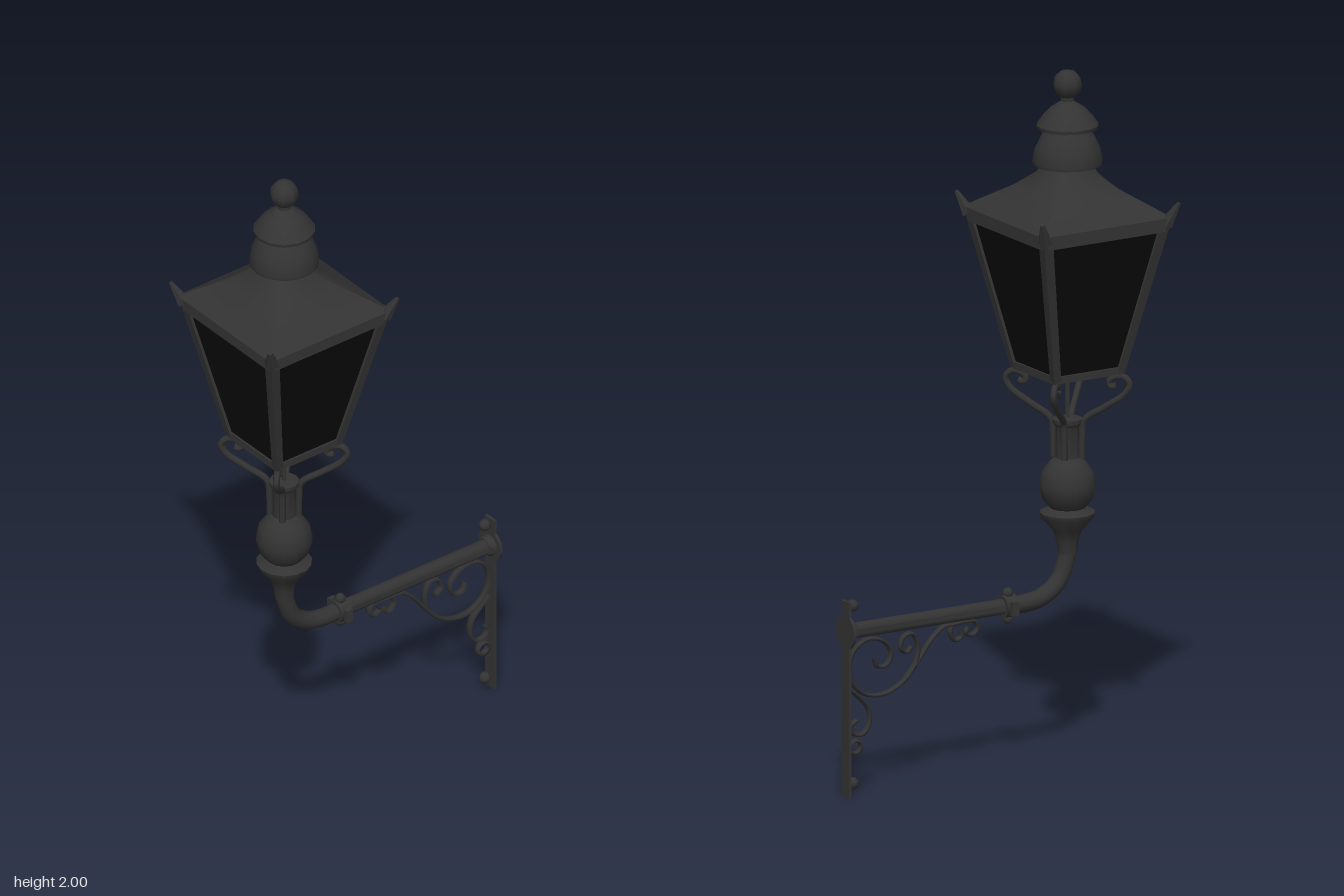
import * as THREE from 'three';
import { toCreasedNormals } from 'three/addons/utils/BufferGeometryUtils.js';

const iron = new THREE.MeshStandardMaterial({ color: 0x333333 });
iron.name = 'castIron';
const glass = new THREE.MeshStandardMaterial({ color: 0x0a0a0a });
glass.name = 'darkGlass';

const AXIS = 0.253; // z of the lantern and column
const PIPE = 0.477; // height of the horizontal arm

function add(parent, name, geometry, material = iron) {
  const mesh = new THREE.Mesh(geometry, material);
  mesh.name = name;
  parent.add(mesh);
  return mesh;
}

const vec = (p) => new THREE.Vector3(...p);

// Turned part, profile listed as [radius, y] from bottom to top
function turned(parent, name, profile, segments = 14) {
  const points = profile.map(([r, y]) => new THREE.Vector2(r, y));
  return add(parent, name, toCreasedNormals(new THREE.LatheGeometry(points, segments), 0.7));
}

// Straight bar between two points, square when sides is 4
function bar(parent, name, from, to, r0, r1 = r0, sides = 4) {
  const a = vec(from), b = vec(to), dir = b.clone().sub(a);
  let g = new THREE.CylinderGeometry(r1, r0, dir.length(), sides);
  if (sides === 4) g.rotateY(Math.PI / 4);
  g = toCreasedNormals(g, 0.9);
  const mesh = add(parent, name, g);
  mesh.position.copy(a).add(b).multiplyScalar(0.5);
  mesh.quaternion.setFromUnitVectors(new THREE.Vector3(0, 1, 0), dir.normalize());
  return mesh;
}

function tube(parent, name, points, radius, steps, sides = 6) {
  const curve = new THREE.CatmullRomCurve3(points.map(vec));
  return add(parent, name, new THREE.TubeGeometry(curve, steps, radius, sides));
}

// Roof skin that blends from a round neck to square eaves
function roofGeometry() {
  const rows = [[1.588, 0.214, 1], [1.62, 0.172, 0.9], [1.66, 0.122, 0.6], [1.7, 0.083, 0.2], [1.74, 0.062, 0]];
  const n = 32, positions = [], index = [];
  rows.forEach(([y, half, square], i) => {
    for (let j = 0; j <= n; j++) {
      const t = (j / n) * Math.PI * 2, s = Math.sin(t), c = Math.cos(t);
      const stretch = 1 + square * (1 / Math.max(Math.abs(s), Math.abs(c)) - 1);
      positions.push(s * half * stretch, y, c * half * stretch);
      if (i < rows.length - 1 && j < n) {
        const a = i * (n + 1) + j, d = a + n + 1;
        index.push(a, a + 1, d, a + 1, d + 1, d);
      }
    }
  });
  const g = new THREE.BufferGeometry();
  g.setAttribute('position', new THREE.Float32BufferAttribute(positions, 3));
  g.setIndex(index);
  return toCreasedNormals(g, 0.6);
}

function buildLantern() {
  const lantern = new THREE.Group();
  lantern.name = 'lantern';
  lantern.position.z = AXIS;

  // Tapered glass body
  const pane = new THREE.CylinderGeometry(0.199 * Math.SQRT2, 0.108 * Math.SQRT2, 0.43, 4);
  pane.rotateY(Math.PI / 4).translate(0, 1.352, 0);
  add(lantern, 'glassPanes', toCreasedNormals(pane, 0.3), glass);

  // Frame, eaves and corner horns
  const corners = [[1, 1], [1, -1], [-1, -1], [-1, 1]];
  corners.forEach(([x, z], i) => {
    const [u, w] = corners[(i + 1) % 4];
    bar(lantern, 'cornerPost', [x * 0.104, 1.13, z * 0.104], [x * 0.194, 1.575, z * 0.194], 0.016, 0.021);
    bar(lantern, 'bottomRail', [x * 0.106, 1.14, z * 0.106], [u * 0.106, 1.14, w * 0.106], 0.015);
    bar(lantern, 'topRail', [x * 0.194, 1.562, z * 0.194], [u * 0.194, 1.562, w * 0.194], 0.019);
    bar(lantern, 'cornerHorn', [x * 0.2, 1.57, z * 0.2], [x * 0.226, 1.632, z * 0.226], 0.021, 0.006, 6);
  });
  add(lantern, 'eaves', new THREE.BoxGeometry(0.428, 0.018, 0.428)).position.y = 1.58;
  add(lantern, 'roof', roofGeometry());

  // Two-tier vent and ball finial
  turned(lantern, 'lowerVentCap', [[0.05, 1.74], [0.098, 1.728], [0.1, 1.738], [0.092, 1.775], [0.075, 1.81], [0.058, 1.835], [0, 1.84]]);
  turned(lantern, 'upperVentCap', [[0.05, 1.825], [0.086, 1.832], [0.088, 1.842], [0.07, 1.868], [0.048, 1.89], [0.03, 1.902], [0.018, 1.91], [0.018, 1.93]]);
  add(lantern, 'finialBall', new THREE.SphereGeometry(0.042, 8, 6)).position.y = 1.958;
  return lantern;
}

function buildColumn() {
  const column = new THREE.Group();
  column.name = 'column';
  column.position.z = AXIS;
  turned(column, 'baluster', [
    [0.027, 0.6], [0.03, 0.635], [0.042, 0.67], [0.076, 0.708], [0.079, 0.722], [0.05, 0.735],
    [0.07, 0.758], [0.081, 0.8], [0.072, 0.84], [0.05, 0.868], [0.034, 0.88], [0.034, 0.97],
    [0.042, 0.98], [0.042, 0.992], [0, 0.995],
  ]);
  bar(column, 'feedRod', [0, 0.98, 0], [0, 1.14, 0], 0.006, 0.006, 6);

  // Four scrolled supports running to the lantern corners
  const scroll = [[0.036, 0.88], [0.037, 0.94], [0.043, 0.99], [0.075, 1.03], [0.115, 1.07], [0.126, 1.1],
    [0.114, 1.121], [0.094, 1.118], [0.083, 1.103], [0.09, 1.09], [0.1, 1.096]];
  for (let i = 0; i < 4; i++) {
    const path = scroll.map(([r, y]) => [r * Math.SQRT2 * (r < 0.05 ? 0.8 : 1), y, 0]);
    tube(column, 'scrollSupport', path, 0.01, 40).rotation.y = Math.PI / 4 + (i * Math.PI) / 2;
  }
  return column;
}

function buildBracket() {
  const bracket = new THREE.Group();
  bracket.name = 'wallBracket';

  // Swept elbow and horizontal arm
  tube(bracket, 'elbow', [[0, 0.64, AXIS], [0, 0.585, 0.248], [0, 0.525, 0.222], [0, 0.488, 0.17],
    [0, PIPE, 0.12], [0, PIPE, 0.04]], 0.026, 24, 10);
  bar(bracket, 'arm', [0, PIPE, 0.06], [0, PIPE, -0.475], 0.023, 0.023, 10);

  // Clamp with bolts
  bar(bracket, 'clamp', [0, PIPE, 0.035], [0, PIPE, 0.075], 0.034, 0.034, 10);
  for (const s of [-1, 1]) {
    add(bracket, 'clampBolt', new THREE.SphereGeometry(0.016, 8, 6)).position.set(0, PIPE + s * 0.037, 0.055);
    add(bracket, 'clampLug', new THREE.BoxGeometry(0.014, 0.04, 0.022)).position.set(s * 0.038, PIPE, 0.055);
  }

  // Wall plate, rosette and fixing bolts
  add(bracket, 'wallPlate', new THREE.BoxGeometry(0.042, 0.566, 0.008)).position.set(0, 0.283, -0.479);
  bar(bracket, 'wallRosette', [0, PIPE, -0.483], [0, PIPE, -0.475], 0.05, 0.05, 12);
  bar(bracket, 'armSocket', [0, PIPE, -0.476], [0, PIPE, -0.455], 0.034, 0.027, 10);
  for (const y of [0.036, 0.55]) {
    add(bracket, 'wallBolt', new THREE.SphereGeometry(0.018, 8, 6)).position.set(0, y, -0.458);
  }

  // Scrollwork straps, each path listed as [z, y]
  const straps = {
    mainScroll: [[-0.12, 0.45], [-0.16, 0.446], [-0.2, 0.415], [-0.24, 0.365], [-0.29, 0.31], [-0.35, 0.282],
      [-0.41, 0.285], [-0.455, 0.32], [-0.47, 0.37], [-0.455, 0.42], [-0.41, 0.446], [-0.36, 0.435],
      [-0.332, 0.4], [-0.345, 0.365], [-0.375, 0.362], [-0.388, 0.388]],
    innerScroll: [[-0.285, 0.315], [-0.252, 0.355], [-0.243, 0.405], [-0.262, 0.442], [-0.292, 0.435],
      [-0.3, 0.405], [-0.28, 0.39], [-0.265, 0.405]],
    lowerScroll: [[-0.47, 0.31], [-0.435, 0.28], [-0.407, 0.245], [-0.404, 0.205], [-0.425, 0.175],
      [-0.456, 0.178], [-0.465, 0.203], [-0.445, 0.217]],
    endScroll: [[-0.13, 0.448], [-0.136, 0.425], [-0.12, 0.402], [-0.1, 0.41], [-0.1, 0.43]],
    tipScroll: [[-0.12, 0.45], [-0.09, 0.452], [-0.055, 0.448], [-0.047, 0.425], [-0.065, 0.41], [-0.085, 0.42], [-0.078, 0.436]],
  };
  for (const [name, path] of Object.entries(straps)) {
    tube(bracket, name, path.map(([z, y]) => [0, y, z]), 0.006, path.length * 5, 5).scale.x = 2;
  }
  const ring = add(bracket, 'lowerRing', new THREE.TorusGeometry(0.019, 0.006, 5, 14));
  ring.rotation.y = Math.PI / 2;
  ring.scale.z = 2;
  ring.position.set(0, 0.14, -0.45);
  return bracket;
}

export function createModel() {
  const model = new THREE.Group();
  model.name = 'wallLantern';
  model.add(buildLantern(), buildColumn(), buildBracket());
  return model;
}
